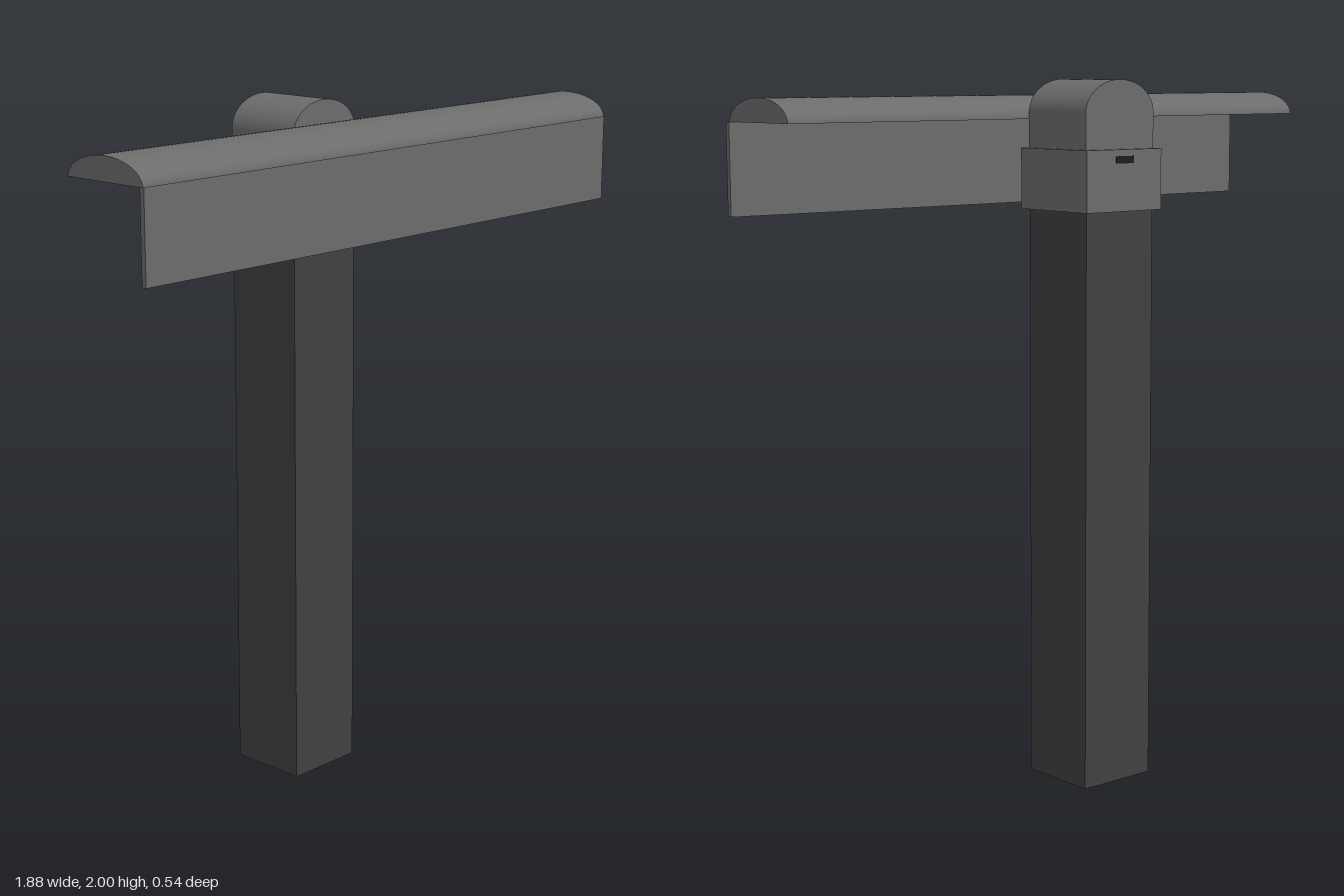
import * as THREE from 'three';

const dark = new THREE.MeshStandardMaterial({ color: 0x404040, side: THREE.DoubleSide });
const grey = new THREE.MeshStandardMaterial({ color: 0x6c6c6c, side: THREE.DoubleSide });
const black = new THREE.MeshStandardMaterial({ color: 0x1c1c1c });

function add(parent, name, geometry, material, x = 0, y = 0, z = 0) {
  const mesh = new THREE.Mesh(geometry, material);
  mesh.name = name;
  mesh.position.set(x, y, z);
  parent.add(mesh);
  return mesh;
}

// Box given by its limits on each axis
function addBox(parent, name, [x0, x1], [y0, y1], [z0, z1], material) {
  const geometry = new THREE.BoxGeometry(x1 - x0, y1 - y0, z1 - z0);
  return add(parent, name, geometry, material, (x0 + x1) / 2, (y0 + y1) / 2, (z0 + z1) / 2);
}

// Half-ellipse shell along z, open underneath, with smooth normals
function archShell(a, b, length) {
  const geometry = new THREE.CylinderGeometry(1, 1, length, 32, 1, true, -Math.PI / 2, Math.PI);
  return geometry.rotateX(-Math.PI / 2).scale(a, b, 1);
}

// Flat half-ellipse closing an end
function archEnd(a, b) {
  return new THREE.CircleGeometry(1, 32, 0, Math.PI).scale(a, b, 1);
}

export function createModel() {
  const model = new THREE.Group();
  const cx = -0.0075;

  // Hollow square post, open at the foot
  const post = new THREE.CylinderGeometry(Math.SQRT1_2, Math.SQRT1_2, 1, 4, 1, true)
    .rotateY(Math.PI / 4).toNonIndexed();
  post.computeVertexNormals();
  post.scale(0.245, 1.66, 0.24);
  add(model, 'post', post, dark, cx, 0.83, -0.13);

  // Collar gripping the top of the post
  addBox(model, 'collar', [-0.145, 0.13], [1.64, 1.81], [-0.27, 0.01], grey);

  // Domed cap with straight sides and an arched top
  const a = 0.125, spring = 1.91, rise = 0.09;
  const profile = new THREE.Shape();
  profile.moveTo(-a, 1.8);
  profile.lineTo(a, 1.8);
  profile.lineTo(a, spring);
  profile.absellipse(0, spring, a, rise, 0, Math.PI, false);
  profile.closePath();
  const cap = new THREE.ExtrudeGeometry(profile, { depth: 0.24, bevelEnabled: false, curveSegments: 24 });
  add(model, 'cap', cap, grey, cx, 0, -0.25);

  // Small recess mark on the back of the collar
  addBox(model, 'backSlot', [-0.04, 0.025], [1.772, 1.792], [-0.272, -0.265], black);

  // Arched rail with closed ends, hollow underneath
  const rail = new THREE.Group();
  rail.name = 'rail';
  rail.position.set(-0.01, 1.89, 0.13);
  rail.rotation.y = Math.PI / 2;
  add(rail, 'railShell', archShell(0.138, 0.065, 1.86), grey);
  for (const side of [-1, 1]) {
    const end = add(rail, 'railEnd', archEnd(0.138, 0.065), grey, 0, 0, side * 0.93);
    if (side < 0) end.rotation.y = Math.PI;
  }
  model.add(rail);

  // Thin panel hanging under the front of the rail
  addBox(model, 'frontPanel', [-0.925, 0.94], [1.64, 1.89], [0.24, 0.255], grey);

  return model;
}
